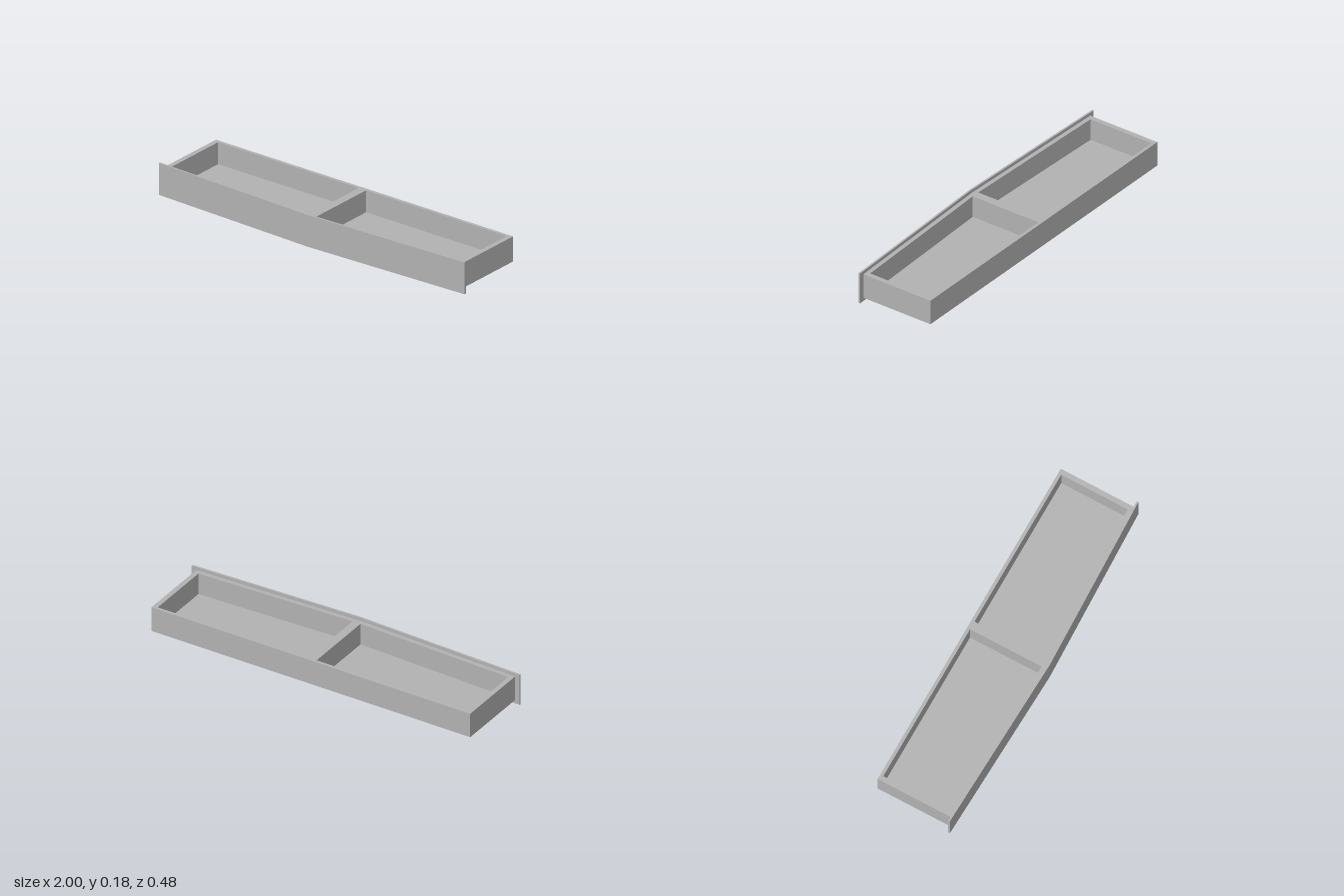
import * as THREE from 'three';

const END_Z = 0.194, MID_Z = 0.228; // back of the bowed front panel
const bowZ = (x) => MID_Z - (MID_Z - END_Z) * Math.abs(x);

// Plan outline given as [x, z] points
const plan = (Type, pts) => new Type(pts.map(([x, z]) => new THREE.Vector2(x, z)));

// Raise a plan outline from y0 to y1
function raise(shape, y0, y1) {
  const g = new THREE.ExtrudeGeometry(shape, { depth: y1 - y0, bevelEnabled: false });
  g.rotateX(Math.PI / 2);
  g.translate(0, y1, 0);
  return g;
}

export function createModel() {
  const group = new THREE.Group();
  group.name = 'drawer';
  const grey = new THREE.MeshStandardMaterial({ color: 0xb2b2b2 });
  grey.name = 'grey';

  const add = (name, geometry) => {
    const mesh = new THREE.Mesh(geometry, grey);
    mesh.name = name;
    group.add(mesh);
  };

  // Overhanging front panel, slightly pointed in the middle
  const t = 0.01;
  add('frontPanel', raise(plan(THREE.Shape, [
    [-1, END_Z], [0, MID_Z], [1, END_Z],
    [1, END_Z + t], [0, MID_Z + t], [-1, END_Z + t],
  ]), 0, 0.18));

  // Tray outline follows the back of the panel
  const w = 0.972, back = -0.237;
  const outline = [[-w, back], [w, back], [w, bowZ(w)], [0, MID_Z], [-w, bowZ(w)]];

  // Walls and centre divider around two compartments
  const walls = plan(THREE.Shape, outline);
  const inner = 0.024, outer = 0.944, wall = 0.024, innerBack = -0.219;
  for (const s of [-1, 1]) {
    walls.holes.push(plan(THREE.Path, [
      [s * inner, innerBack], [s * outer, innerBack],
      [s * outer, bowZ(outer) - wall], [s * inner, bowZ(inner) - wall],
    ]));
  }
  add('trayWalls', raise(walls, 0.038, 0.162));

  // Tray floor
  add('trayFloor', raise(plan(THREE.Shape, outline), 0.02, 0.038));
  return group;
}
